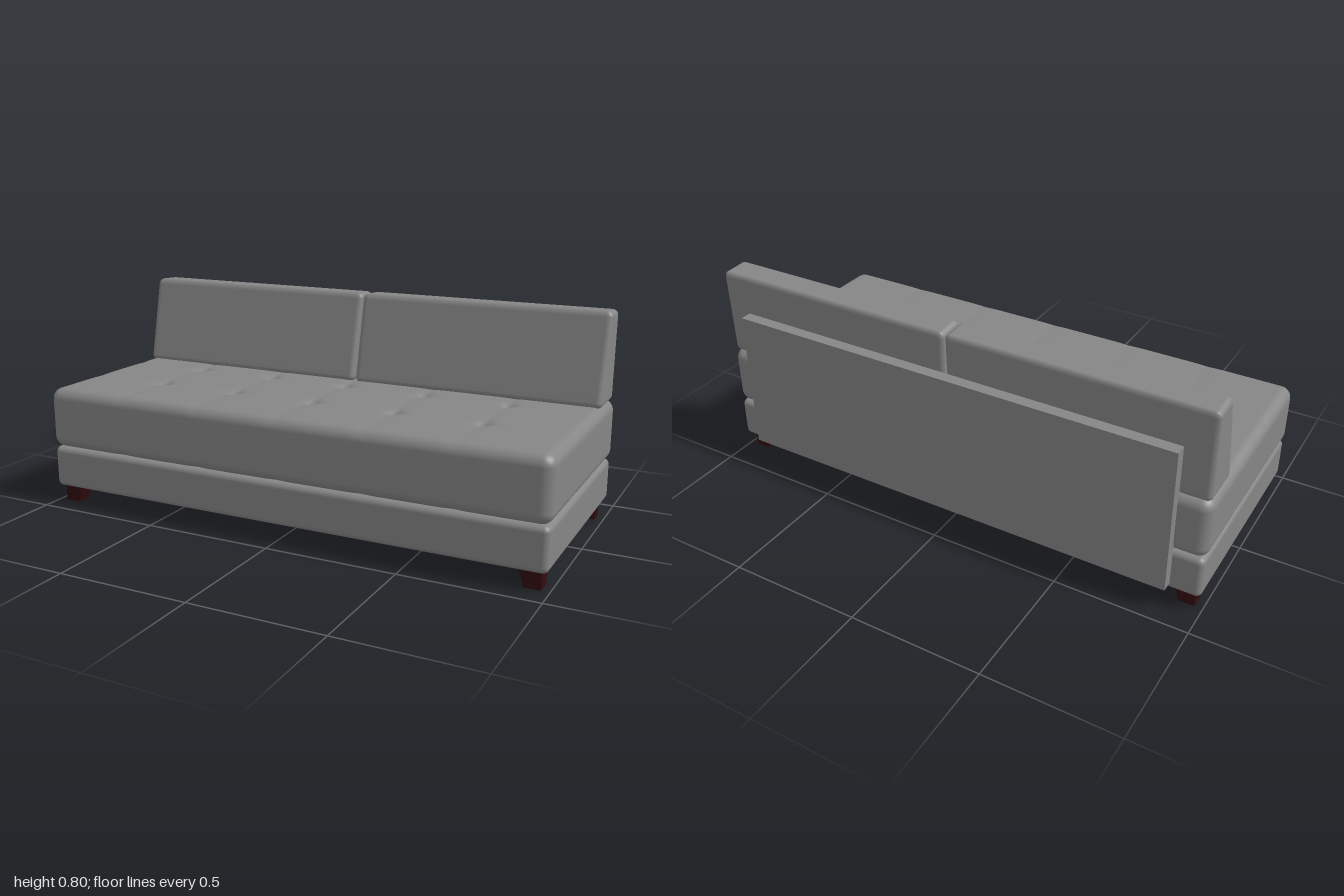
import * as THREE from 'three';
import { mergeVertices } from 'three/addons/utils/BufferGeometryUtils.js';

const fabric = new THREE.MeshStandardMaterial({ name: 'grey upholstery', color: 0x868686 });
const wood = new THREE.MeshStandardMaterial({ name: 'dark red wood', color: 0x330c0f });

const ROUND = 4; // grid steps inside each rounded edge

// Box with rounded edges between two corners; "rule" may then move each vertex
function softBox(min, max, r, segs, rule) {
  const size = max.map((v, i) => v - min[i]);
  const n = segs.map((s) => s + 2 * ROUND);
  let geo = new THREE.BoxGeometry(1, 1, 1, ...n);
  const pos = geo.attributes.position;
  const p = new THREE.Vector3(), core = new THREE.Vector3();

  // Grid position along one axis: equal angles in the edges, even steps between
  const place = (index, count, half) => {
    const fromEnd = Math.min(index, count - index);
    if (fromEnd >= ROUND) {
      const t = (index - ROUND) / (count - 2 * ROUND);
      return (half - r) * (2 * t - 1);
    }
    const d = half - r + r * Math.tan((1 - fromEnd / ROUND) * Math.PI / 4);
    return index < count / 2 ? -d : d;
  };

  for (let i = 0; i < pos.count; i++) {
    p.fromBufferAttribute(pos, i);
    ['x', 'y', 'z'].forEach((axis, k) => {
      const half = size[k] / 2;
      p[axis] = place(Math.round((p[axis] + 0.5) * n[k]), n[k], half);
      core[axis] = THREE.MathUtils.clamp(p[axis], r - half, half - r);
    });
    p.sub(core).setLength(r).add(core);
    ['x', 'y', 'z'].forEach((axis, k) => { p[axis] += (min[k] + max[k]) / 2; });
    if (rule) rule(p);
    pos.setXYZ(i, p.x, p.y, p.z);
  }
  geo.deleteAttribute('uv');
  geo.deleteAttribute('normal');
  geo = mergeVertices(geo, 1e-5);
  geo.computeVertexNormals();
  return geo;
}

function add(group, name, geometry, material) {
  const mesh = new THREE.Mesh(geometry, material);
  mesh.name = name;
  group.add(mesh);
  return mesh;
}

// Tufting: pinched points with short crossing creases and faint seams
const tuftX = [-2, -1, 0, 1, 2].map((i) => i / 3);
const tuftZ = [-0.13, 0.155];
const bell = (d, w) => Math.exp(-((d / w) ** 2));
const nearest = (list, v) => Math.min(...list.map((t) => Math.abs(v - t)));

function tuft(p) {
  const up = THREE.MathUtils.smoothstep(Math.abs(p.y - 0.343), 0.07, 0.115);
  const dx = nearest(tuftX, p.x), dz = nearest(tuftZ, p.z);
  const depth = 0.01 * bell(Math.hypot(dx, dz), 0.03)
    + 0.006 * bell(dx, 0.012) * bell(dz, 0.06)
    + 0.006 * bell(dz, 0.012) * bell(dx, 0.07)
    + 0.002 * (bell(dz, 0.03) + bell(dx, 0.03));
  p.y -= Math.sign(p.y - 0.343) * up * depth;
}

// Back cushions lean: the front narrows towards the top
function lean(p) {
  const t = THREE.MathUtils.clamp((p.y - 0.46) / 0.34, 0, 1);
  p.z = -0.4 + (p.z + 0.4) * (1 - 0.4 * t) + 0.008 * (1 - t);
  p.y -= 0.006 * t * THREE.MathUtils.clamp((-0.29 - p.z) / 0.11, 0, 1);
}

// Leg with two upright outer sides and two tapering inner sides
function legGeometry(sx, sz) {
  const geo = new THREE.BoxGeometry(0.08, 0.07, 0.076);
  const pos = geo.attributes.position;
  for (let i = 0; i < pos.count; i++) {
    if (pos.getY(i) > 0) continue;
    if (pos.getX(i) * sx < 0) pos.setX(i, -0.02 * sx);
    if (pos.getZ(i) * sz < 0) pos.setZ(i, -0.018 * sz);
  }
  const flat = geo.toNonIndexed();
  flat.computeVertexNormals();
  return flat;
}

export function createModel() {
  const sofa = new THREE.Group();
  sofa.name = 'sofa';

  add(sofa, 'base', softBox([-0.995, 0.064, -0.402], [0.995, 0.226, 0.437], 0.022, [4, 2, 4]), fabric);
  add(sofa, 'seatCushion',
    softBox([-1, 0.226, -0.406], [1, 0.461, 0.444], 0.042, [150, 3, 64], tuft), fabric);

  // Pair of back cushions
  for (const side of [-1, 1]) {
    const x0 = side < 0 ? -0.991 : 0.003;
    add(sofa, side < 0 ? 'rightBackCushion' : 'leftBackCushion',
      softBox([x0, 0.455, -0.403], [x0 + 0.988, 0.803, -0.22], 0.022, [4, 6, 4], lean), fabric);
  }

  // Board behind the back cushions
  add(sofa, 'backPanel', new THREE.BoxGeometry(1.77, 0.555, 0.045), fabric)
    .position.set(0, 0.3675, -0.4225);

  // Four legs
  for (const sx of [-1, 1]) {
    for (const sz of [-1, 1]) {
      const name = (sz > 0 ? 'front' : 'rear') + (sx > 0 ? 'Left' : 'Right') + 'Leg';
      add(sofa, name, legGeometry(sx, sz), wood)
        .position.set(sx * 0.93, 0.035, sz > 0 ? 0.372 : -0.331);
    }
  }
  return sofa;
}
